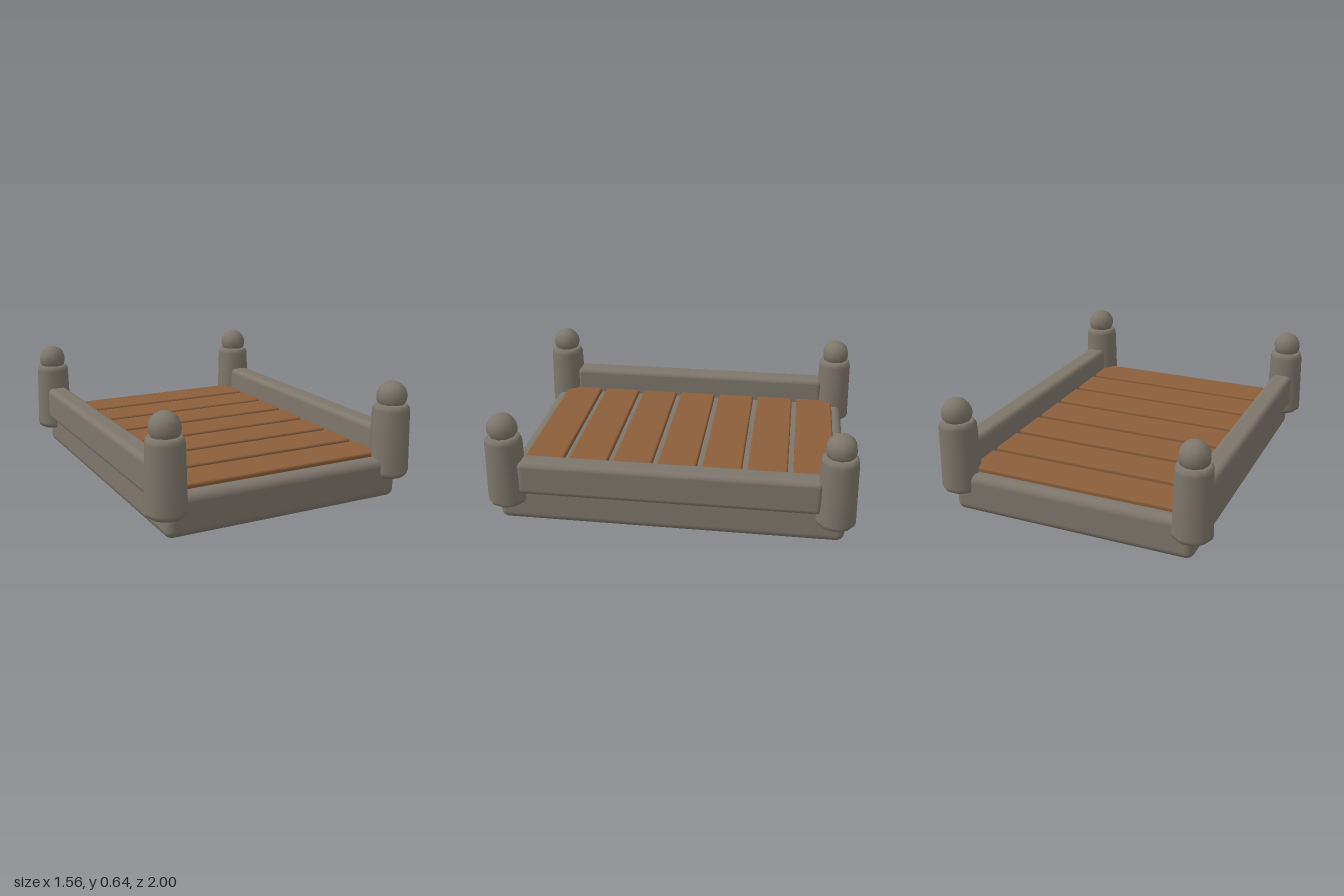
import * as THREE from 'three';
import { RoundedBoxGeometry } from 'three/addons/geometries/RoundedBoxGeometry.js';

export function createModel() {
  const model = new THREE.Group();
  model.name = 'plankBed';

  const stone = new THREE.MeshStandardMaterial({ color: 0x7d766b });
  stone.name = 'warm grey';
  const wood = new THREE.MeshStandardMaterial({ color: 0x8b5e3a });
  wood.name = 'brown wood';

  const add = (name, geometry, material, x, y, z) => {
    const mesh = new THREE.Mesh(geometry, material);
    mesh.name = name;
    mesh.position.set(x, y, z);
    model.add(mesh);
    return mesh;
  };

  // Base slab
  add('base', new RoundedBoxGeometry(1.38, 0.225, 1.9, 3, 0.045), stone, 0, 0.1125, 0);

  // Seven cross planks with narrow gaps
  const plank = new RoundedBoxGeometry(1.28, 0.06, 0.226, 2, 0.012);
  for (let i = 0; i < 7; i++) {
    add('plank' + (i + 1), plank, wood, 0, 0.22, (i - 3) * 0.257 - 0.004);
  }

  // Side rails
  const rail = new RoundedBoxGeometry(0.126, 0.196, 1.64, 3, 0.032);

  // Tapered ten-sided post with bevelled ends, and its ball
  const profile = [
    [0, 0.113], [0.085, 0.113], [0.104, 0.127], [0.11, 0.148],
    [0.101, 0.488], [0.096, 0.506], [0.083, 0.52], [0, 0.52],
  ].map(([r, y]) => new THREE.Vector2(r, y));
  const post = new THREE.LatheGeometry(profile, 10, Math.PI / 2);
  const ball = new THREE.SphereGeometry(0.083, 10, 10);

  for (const [sx, side] of [[1, 'left'], [-1, 'right']]) {
    add(side + 'Rail', rail, stone, sx * 0.673, 0.285, 0);
    for (const [sz, end] of [[1, 'Front'], [-1, 'Back']]) {
      add(side + end + 'Post', post, stone, sx * 0.671, 0, sz * 0.895);
      add(side + end + 'Ball', ball, stone, sx * 0.671, 0.56, sz * 0.895);
    }
  }

  return model;
}
